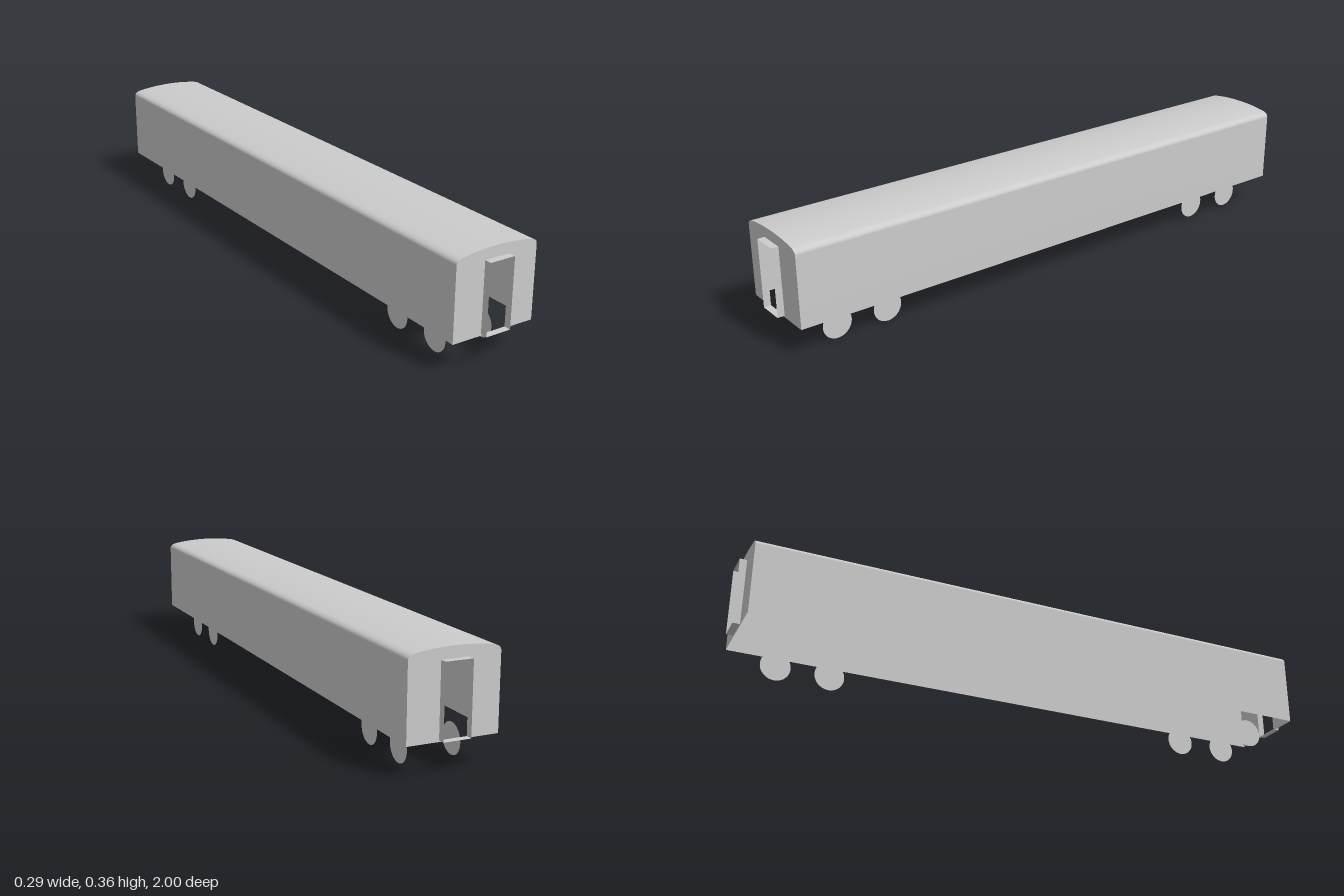
import * as THREE from 'three';

const HALF_WIDTH = 0.143, FLOOR = 0.1, BODY_END = 0.977;
const DOOR = { x: 0.043, bottom: 0.105, top: 0.327 };

const material = new THREE.MeshStandardMaterial({ color: 0xcccccc, side: THREE.DoubleSide });

function addMesh(parent, geometry, name) {
  const mesh = new THREE.Mesh(geometry, material);
  mesh.name = name;
  parent.add(mesh);
  return mesh;
}

// Thin sheet following a profile in x, y and running from z0 to z1
function sheet(points, z0, z1, sharp = false) {
  const columns = points.length;
  let geometry = new THREE.PlaneGeometry(1, 1, columns - 1, 1);
  const position = geometry.attributes.position;
  for (let i = 0; i < position.count; i++) {
    const p = points[i % columns];
    position.setXYZ(i, p.x, p.y, i < columns ? z0 : z1);
  }
  if (sharp) geometry = geometry.toNonIndexed();
  geometry.computeVertexNormals();
  return geometry;
}

// Cross-section: straight sides, tight shoulders and a shallow arched roof
function tracePath(path) {
  path.moveTo(-HALF_WIDTH, FLOOR);
  path.lineTo(-HALF_WIDTH, 0.333);
  path.bezierCurveTo(-HALF_WIDTH, 0.343, -0.135, 0.349, -0.122, 0.352);
  path.bezierCurveTo(-0.083, 0.359, -0.042, 0.362, 0, 0.362);
  path.bezierCurveTo(0.042, 0.362, 0.083, 0.359, 0.122, 0.352);
  path.bezierCurveTo(0.135, 0.349, HALF_WIDTH, 0.343, HALF_WIDTH, 0.333);
  path.lineTo(HALF_WIDTH, FLOOR);
  return path;
}

export function createModel() {
  const model = new THREE.Group();
  model.name = 'railCarriage';

  // Side walls and roof, open underneath
  const profile = tracePath(new THREE.Path()).getPoints(10);
  addMesh(model, sheet(profile, -BODY_END, BODY_END), 'sidesAndRoof');

  // Doorway corners, used for the hole and the projecting frame
  const corners = [
    [-DOOR.x, DOOR.bottom], [-DOOR.x, DOOR.top],
    [DOOR.x, DOOR.top], [DOOR.x, DOOR.bottom], [-DOOR.x, DOOR.bottom],
  ].map(([x, y]) => new THREE.Vector2(x, y));

  const wallShape = tracePath(new THREE.Shape());
  wallShape.holes.push(new THREE.Path(corners));
  const wallGeometry = new THREE.ShapeGeometry(wallShape, 10);
  const frameGeometry = sheet(corners, BODY_END, 1, true);

  // Both ends: wall with a doorway and a thin gangway frame
  for (const [name, turn] of [['front', 0], ['back', Math.PI]]) {
    const end = new THREE.Group();
    end.name = name + 'End';
    end.rotation.y = turn;
    addMesh(end, wallGeometry, name + 'Wall').position.z = BODY_END;
    addMesh(end, frameGeometry, name + 'DoorFrame');
    model.add(end);
  }

  // Flat disc wheels, two pairs near each end
  const wheelGeometry = new THREE.CircleGeometry(0.049, 40);
  for (const side of [-1, 1]) {
    for (const z of [-0.83, -0.655, 0.655, 0.83]) {
      const wheel = addMesh(model, wheelGeometry, side > 0 ? 'leftWheel' : 'rightWheel');
      wheel.rotation.y = side * Math.PI / 2;
      wheel.position.set(side * 0.085, 0.049, z);
    }
  }
  return model;
}
